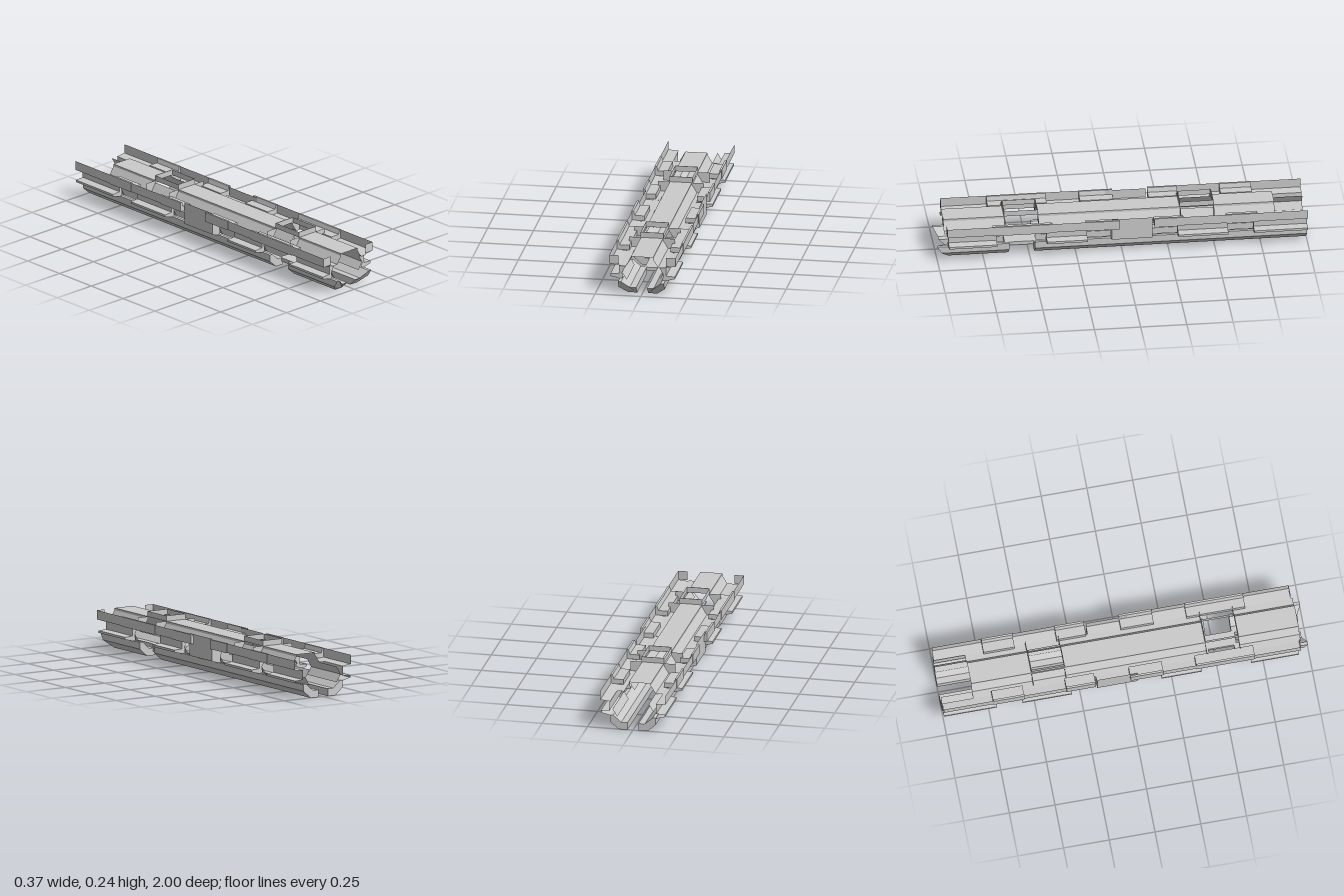
import * as THREE from 'three';

const material = new THREE.MeshStandardMaterial({ color: 0xcccccc, flatShading: true, side: THREE.DoubleSide });

// Open folded sheet: a cross-section of [x, y] points swept from z0 to z1.
function sheet(points, z0, z1) {
  const pos = [];
  for (let i = 0; i < points.length - 1; i++) {
    const [ax, ay] = points[i], [bx, by] = points[i + 1];
    pos.push(ax, ay, z0, bx, by, z0, bx, by, z1, ax, ay, z0, bx, by, z1, ax, ay, z1);
  }
  const g = new THREE.BufferGeometry();
  g.setAttribute('position', new THREE.Float32BufferAttribute(pos, 3));
  g.computeVertexNormals();
  return g;
}

const toShape = (points) => new THREE.Shape(points.map(([x, y]) => new THREE.Vector2(x, y)));

// Solid bar: a closed cross-section swept from z0 to z1.
function bar(points, z0, z1) {
  return new THREE.ExtrudeGeometry(toShape(points), { depth: z1 - z0, bevelEnabled: false }).translate(0, 0, z0);
}

// Flat cross panel at one z.
function panel(points, z) {
  return new THREE.ShapeGeometry(toShape(points)).translate(0, 0, z);
}

function add(group, name, geometry) {
  const mesh = new THREE.Mesh(geometry, material);
  mesh.name = name;
  group.add(mesh);
}

// Mirrored copy with the winding turned round.
function mirrored(geometry) {
  const g = geometry.index ? geometry.toNonIndexed() : geometry.clone();
  g.scale(-1, 1, 1);
  const p = g.attributes.position;
  const a = new THREE.Vector3(), b = new THREE.Vector3();
  for (let i = 0; i < p.count; i += 3) {
    a.fromBufferAttribute(p, i + 1);
    b.fromBufferAttribute(p, i + 2);
    p.setXYZ(i + 1, b.x, b.y, b.z);
    p.setXYZ(i + 2, a.x, a.y, a.z);
  }
  g.computeVertexNormals();
  return g;
}

function addPair(group, name, geometry) {
  add(group, name + 'Left', geometry);
  add(group, name + 'Right', mirrored(geometry));
}

export function createModel() {
  const model = new THREE.Group();
  model.name = 'corridor';

  // Lower rails, broken by a side gap; the front tips are raked back
  const railProfile = [[0.03, 0], [0.08, 0], [0.125, 0.04], [0.125, 0.078], [0.108, 0.078], [0.065, 0.04], [0.03, 0.04]];
  const frontRail = bar(railProfile, 0.61, 1);
  const p = frontRail.attributes.position;
  for (let i = 0; i < p.count; i++) {
    if (p.getZ(i) > 0.9) p.setZ(i, 1 - Math.max(0, 0.065 - p.getY(i)));
  }
  frontRail.computeVertexNormals();
  addPair(model, 'lowerRailFront', frontRail);
  addPair(model, 'lowerRailRear', bar(railProfile, -1, 0.47));

  // Floor plate bridging the gap
  add(model, 'floorPlate', new THREE.BoxGeometry(0.08, 0.02, 0.17).translate(0, 0.03, 0.54));

  // Roof strips with sloped shoulders and the valley floor beside them
  const roof = [[-0.06, 0.21], [0.06, 0.21]];
  const shoulder = [[0.06, 0.21], [0.06, 0.198], [0.087, 0.155], [0.125, 0.155]];
  for (const [z0, z1] of [[-0.83, -0.5], [-0.32, 0.45], [0.63, 0.96]]) {
    add(model, 'roof', sheet(roof, z0, z1));
    addPair(model, 'shoulder', sheet(shoulder, z0, z1));
  }
  addPair(model, 'shoulderBesideHatch', sheet(shoulder.slice(1), -0.5, -0.32));

  // Raised frames round the roof openings, with ribs across the valleys
  const rib = [...shoulder, [0.125, 0.21]];
  for (const [z0, z1] of [[-0.5, -0.32], [0.45, 0.63]]) {
    for (const z of [z0, z1]) {
      add(model, 'hatchFrameEnd', new THREE.BoxGeometry(0.124, 0.03, 0.004).translate(0, 0.225, z));
      addPair(model, 'valleyRib', panel(rib, z));
    }
    addPair(model, 'hatchFrameSide', sheet([[0.062, 0.21], [0.062, 0.24]], z0, z1));
  }

  // Wall bays: angled lining, outer parapet with an inner ledge, recessed wall and a low shelf
  const lining = [[0.087, 0.155], [0.112, 0.112], [0.087, 0.07]];
  const parapet = [[0.18, 0.21], [0.18, 0.16], [0.125, 0.155]];
  const skin = [[0.128, 0.155], [0.128, 0.103], [0.176, 0.1], [0.176, 0.088], [0.125, 0.075]];
  const bayEnd = [[0.087, 0.155], [0.112, 0.112], [0.108, 0.078], ...[...skin].reverse()];
  for (const [z0, z1, top0, top1] of [
    [-1, -0.71, -1, -0.73], [-0.57, -0.3, -0.56, -0.33], [0.19, 0.41, 0.2, 0.38], [0.68, 0.94, 0.7, 0.95],
  ]) {
    addPair(model, 'innerLining', sheet(lining, z0, z1));
    addPair(model, 'outerSkin', sheet(skin, z0, z1));
    addPair(model, 'parapet', sheet(parapet, top0, top1));
    if (z0 > -1) addPair(model, 'bayRearEnd', panel(bayEnd, z0));
    addPair(model, 'bayFrontEnd', panel(bayEnd, z1));
  }
  addPair(model, 'parapetFrontEnd', panel([[0.13, 0.16], [0.18, 0.16], [0.18, 0.21], [0.13, 0.21]], 0.95));

  // Middle bay with one tall outer wall
  addPair(model, 'middleLining', sheet(lining, -0.16, 0.06));
  addPair(model, 'middleWall', sheet([[0.165, 0.21], [0.165, 0.088], [0.125, 0.075]], -0.16, 0.06));
  addPair(model, 'middleLedge', sheet([[0.125, 0.155], [0.165, 0.158]], -0.16, 0.06));
  const middleEnd = [[0.087, 0.155], [0.112, 0.112], [0.108, 0.078], [0.125, 0.075], [0.165, 0.088], [0.165, 0.158]];
  for (const z of [-0.16, 0.06]) addPair(model, 'middleBayEnd', panel(middleEnd, z));

  // Stepped headers over the side windows
  const header = [[0.112, 0.158], [0.183, 0.158], [0.183, 0.21], [0.172, 0.21], [0.165, 0.185], [0.112, 0.185]];
  for (const [z0, z1] of [[-0.73, -0.56], [-0.33, -0.17], [0.02, 0.2], [0.38, 0.7]]) {
    addPair(model, 'windowHeader', bar(header, z0, z1));
  }
  return model;
}
